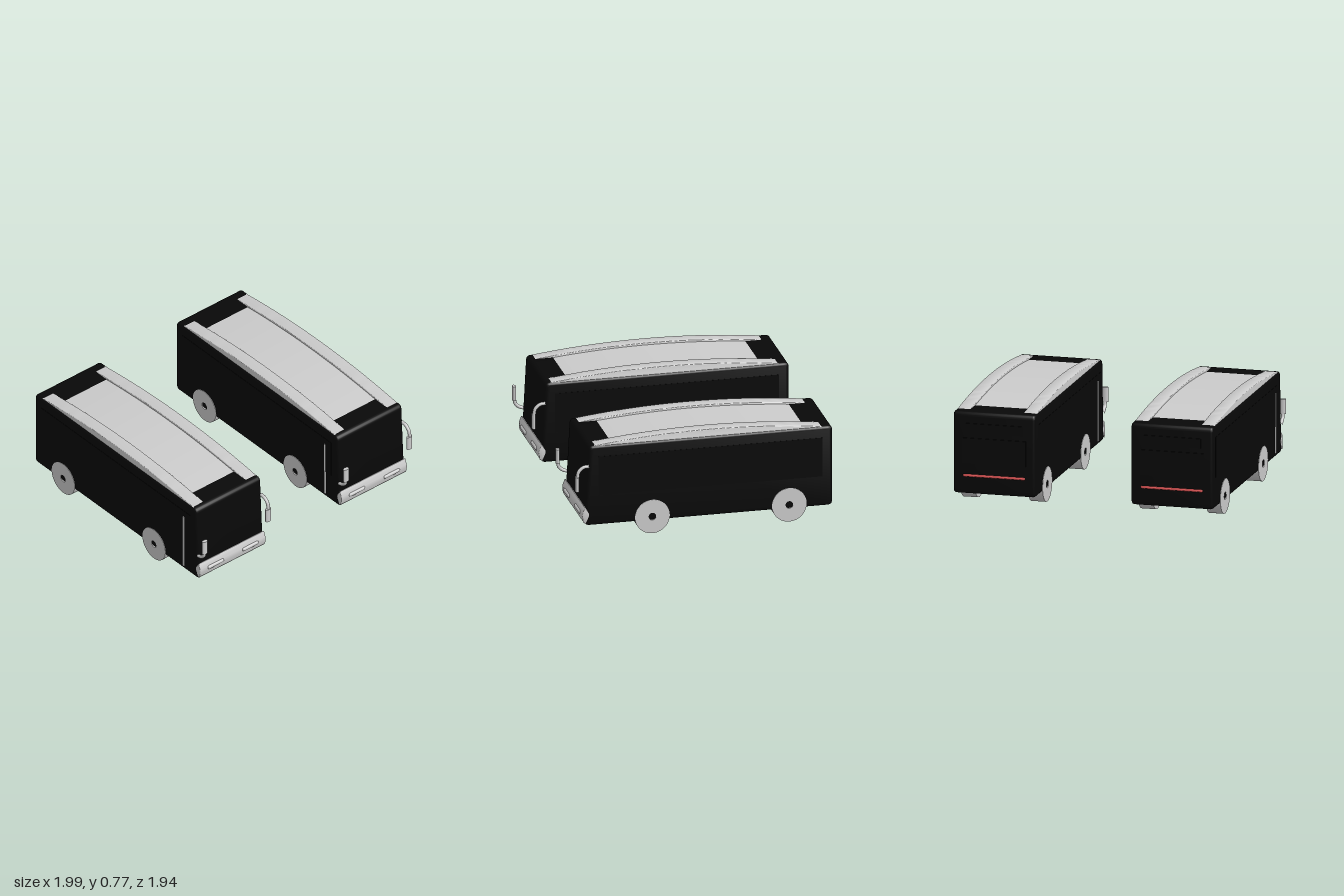
import * as THREE from 'three';
import { toCreasedNormals } from 'three/addons/utils/BufferGeometryUtils.js';

const mat = (color) => new THREE.MeshStandardMaterial({ color });
const grey = mat(0xcccccc);
const black = mat(0x080808);
const red = mat(0xe05555);

function add(parent, name, geometry, material, x = 0, y = 0, z = 0) {
  const mesh = new THREE.Mesh(geometry, material);
  mesh.name = name;
  mesh.position.set(x, y, z);
  parent.add(mesh);
  return mesh;
}

// Extrudes a [z, y] side profile across x from x0 to x1, with rounded edges
function sideExtrude(points, x0, x1, bevel = 0) {
  const shape = new THREE.Shape(points.map(([z, y]) => new THREE.Vector2(-z, y)));
  const geo = new THREE.ExtrudeGeometry(shape, {
    depth: x1 - x0 - 2 * bevel, bevelEnabled: bevel > 0, bevelThickness: bevel,
    bevelSize: bevel, bevelOffset: -bevel, bevelSegments: 4,
  });
  geo.translate(0, 0, x0 + bevel);
  geo.rotateY(Math.PI / 2);
  return toCreasedNormals(geo, 0.6);
}

// Profile with every corner rounded by radius r
function rounded(points, r, steps = 5) {
  const v = points.map((p) => new THREE.Vector2(...p));
  const out = [];
  v.forEach((p, i) => {
    const prev = v[(i + v.length - 1) % v.length], next = v[(i + 1) % v.length];
    const a = prev.clone().sub(p).setLength(r).add(p);
    const b = next.clone().sub(p).setLength(r).add(p);
    const curve = new THREE.QuadraticBezierCurve(a, p, b);
    curve.getPoints(steps).forEach((q) => out.push([q.x, q.y]));
  });
  return out;
}

// Shallow arch from z0 to z1, rising from y = base to y = peak
function arch(z0, z1, base, peak, power = 2) {
  const pts = [[z1, 0.69], [z0, 0.69]];
  for (let i = 0; i <= 28; i++) {
    const t = i / 28;
    pts.push([z0 + (z1 - z0) * t, base + (peak - base) * (1 - Math.abs(2 * t - 1) ** power)]);
  }
  return pts;
}

function createBus() {
  const bus = new THREE.Group();
  bus.name = 'bus';

  // Body shell with a raked front
  const profile = rounded([[-0.955, 0.1], [0.9, 0.1], [0.868, 0.715], [-0.955, 0.715]], 0.035);
  add(bus, 'body', sideExtrude(profile, -0.309, 0.309, 0.02), black);

  // Side window bands, rear window and rear hatch
  for (const s of [-1, 1]) {
    add(bus, 'sideWindows', new THREE.BoxGeometry(0.006, 0.3, 1.68), black, s * 0.308, 0.48, -0.04);
  }
  add(bus, 'rearWindow', new THREE.BoxGeometry(0.44, 0.07, 0.012), black, 0, 0.595, -0.956);
  add(bus, 'rearHatch', new THREE.BoxGeometry(0.48, 0.19, 0.012), black, 0, 0.425, -0.956);

  // Roof panel and the two curved roof rails
  add(bus, 'roofPanel', sideExtrude(arch(-0.75, 0.69, 0.715, 0.752), -0.2, 0.2), grey);
  for (const s of [-1, 1]) {
    const geo = sideExtrude(arch(-0.88, 0.83, 0.714, 0.768), -0.05, 0.05, 0.006);
    add(bus, 'roofRail', geo, grey, s * 0.25);
  }

  // Wheels with a recessed hub, outer face towards +x
  const wheelProfile = [[0, 0], [0.13, 0], [0.13, 0.112], [0.028, 0.112], [0.028, 0.1], [0, 0.1]]
    .map((p) => new THREE.Vector2(...p));
  const wheelGeo = toCreasedNormals(new THREE.LatheGeometry(wheelProfile, 48), 0.6);
  wheelGeo.rotateZ(-Math.PI / 2);
  for (const z of [0.395, -0.63]) {
    for (const s of [-1, 1]) {
      const wheel = add(bus, 'wheel', wheelGeo, grey, s * 0.2, 0.131, z);
      if (s < 0) wheel.rotation.y = Math.PI;
    }
  }

  // Front bumper with two lamps
  const bumper = rounded([[0.9, 0.25], [0.862, 0.185], [0.892, 0.115], [0.915, 0.13], [0.922, 0.19]], 0.018);
  add(bus, 'bumper', sideExtrude(bumper, -0.312, 0.312, 0.007), grey);
  for (const s of [-1, 1]) {
    const lamp = new THREE.CapsuleGeometry(0.016, 0.122, 6, 16);
    lamp.rotateZ(Math.PI / 2);
    add(bus, 'frontLamp', lamp, grey, s * 0.165, 0.185, 0.915);
  }

  // Rear light bar
  const bar = new THREE.CapsuleGeometry(0.01, 0.45, 6, 12);
  bar.rotateZ(Math.PI / 2);
  add(bus, 'rearLightBar', bar, red, 0, 0.24, -0.96);

  // Vertical door handle on the -x side
  add(bus, 'doorHandle', new THREE.CylinderGeometry(0.008, 0.008, 0.45, 12), grey, -0.309, 0.355, 0.73);

  // Mirrors: arm from above on +x, arm from below on -x
  const arms = [
    [0.306, [[0.56, 0.87], [0.555, 0.91], [0.525, 0.945], [0.47, 0.957]]],
    [-0.302, [[0.305, 0.885], [0.315, 0.915], [0.34, 0.945], [0.385, 0.957]]],
  ];
  for (const [x, path] of arms) {
    const curve = new THREE.CatmullRomCurve3(path.map(([y, z]) => new THREE.Vector3(x, y, z)));
    add(bus, 'mirrorArm', new THREE.TubeGeometry(curve, 24, 0.013, 12), grey);
    const head = new THREE.CylinderGeometry(0.024, 0.024, 0.11, 24);
    head.scale(1, 1, 0.62);
    add(bus, 'mirrorHead', head, grey, Math.sign(x) * 0.301, 0.427, 0.957);
  }
  return bus;
}

export function createModel() {
  const model = new THREE.Group();
  model.name = 'busPair';
  for (const x of [-0.674, 0.67]) {
    const bus = createBus();
    bus.position.x = x;
    model.add(bus);
  }
  return model;
}
